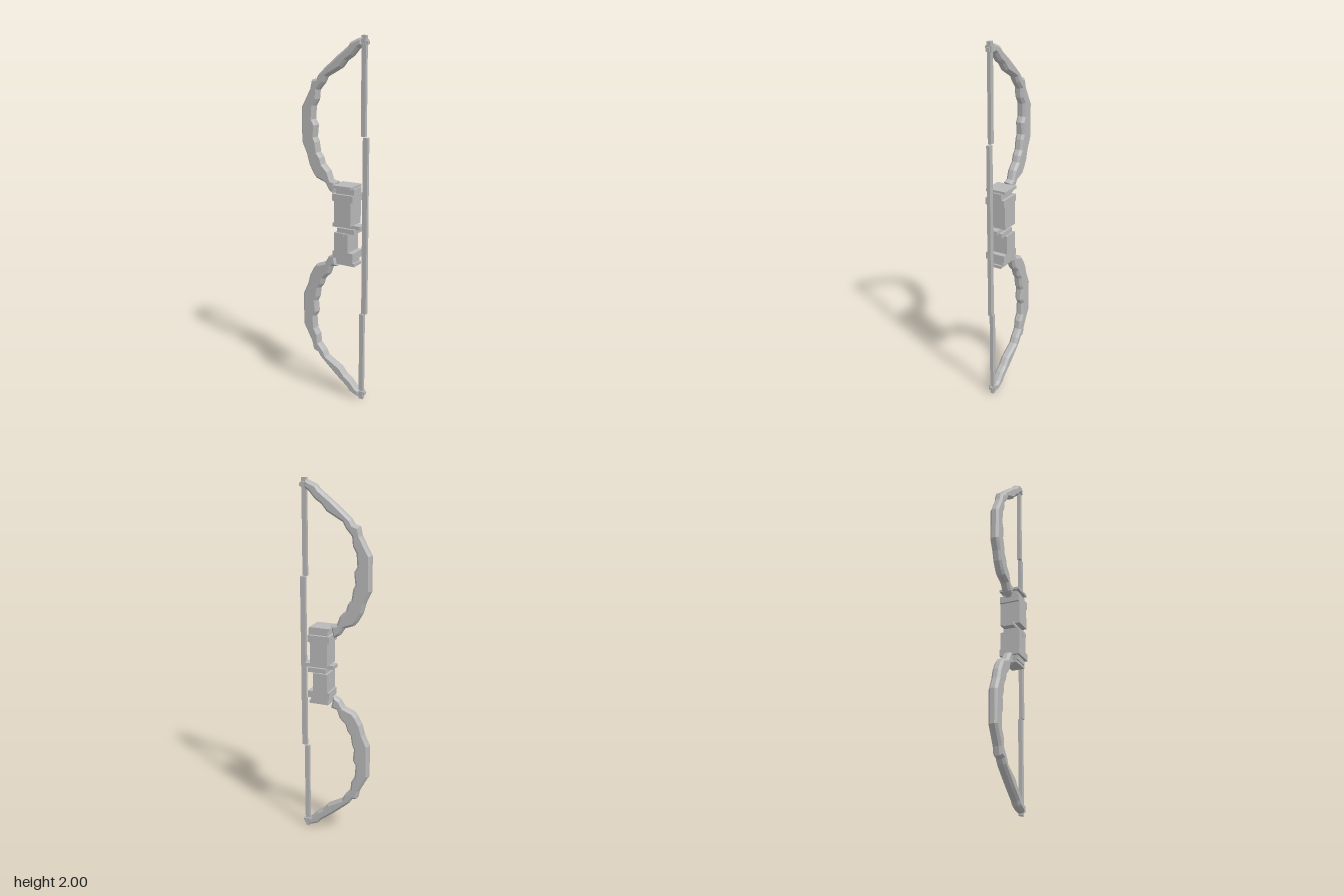
import * as THREE from 'three';

export function createModel() {
  const bow = new THREE.Group();
  bow.name = 'bow';
  const grey = new THREE.MeshStandardMaterial({ color: 0xb8b8b8 });
  grey.name = 'plain grey';

  // box from x range, y range and half depth
  const box = (name, x0, x1, y0, y1, halfZ) => {
    const mesh = new THREE.Mesh(new THREE.BoxGeometry(x1 - x0, y1 - y0, halfZ * 2), grey);
    mesh.position.set((x0 + x1) / 2, (y0 + y1) / 2, 0);
    mesh.name = name;
    bow.add(mesh);
  };

  // limb outline, heights measured from the middle of the bow
  const outer = [
    [0.165, 0.99], [0.145, 0.985], [0.1, 0.965], [0.085, 0.945], [0.06, 0.925], [0.02, 0.895],
    [-0.045, 0.84], [-0.09, 0.8], [-0.105, 0.775], [-0.135, 0.765], [-0.145, 0.72],
    [-0.18, 0.655], [-0.2, 0.62], [-0.2, 0.435], [-0.17, 0.37], [-0.155, 0.315],
    [-0.13, 0.27], [-0.11, 0.245], [-0.055, 0.225], [-0.03, 0.185], [0.005, 0.165],
  ];
  const inner = [
    [0.022, 0.235], [-0.013, 0.243], [-0.03, 0.29], [-0.065, 0.325], [-0.075, 0.36],
    [-0.095, 0.385], [-0.103, 0.44], [-0.115, 0.465], [-0.108, 0.53], [-0.125, 0.56],
    [-0.12, 0.63], [-0.1, 0.665], [-0.095, 0.715], [-0.06, 0.755], [-0.045, 0.785],
    [0, 0.81], [0.045, 0.835], [0.075, 0.872], [0.11, 0.895], [0.145, 0.935], [0.17, 0.95],
  ];

  // upper and lower limbs with bevelled edges
  for (const side of [1, -1]) {
    const outline = [...outer, ...inner].map(([x, y]) => new THREE.Vector2(x, 1 + side * y));
    const limb = new THREE.ExtrudeGeometry(new THREE.Shape(outline), {
      depth: 0.024, bevelEnabled: true, bevelThickness: 0.013,
      bevelSize: 0.012, bevelOffset: -0.012, bevelSegments: 1,
    });
    limb.translate(0, 0, -0.012);
    const mesh = new THREE.Mesh(limb, grey);
    mesh.name = side > 0 ? 'upperLimb' : 'lowerLimb';
    bow.add(mesh);

    // string end, with its knot at the limb tip
    const span = (a, b) => (side > 0 ? [1 + a, 1 + b] : [1 - b, 1 - a]);
    box('stringEnd', 0.16, 0.185, ...span(0.49, 1), 0.01);
    box('stringKnot', 0.152, 0.186, ...span(0.95, 0.98), 0.018);
    box('stringNock', 0.18, 0.197, ...span(0.955, 0.972), 0.01);
  }
  box('stringMiddle', 0.172, 0.2, 0.515, 1.485, 0.01);

  // upper grip
  box('upperCap', 0.014, 0.13, 1.212, 1.226, 0.058);
  box('upperNeck', 0.03, 0.14, 1.178, 1.213, 0.04);
  box('upperCollar', 0.014, 0.141, 1.142, 1.18, 0.056);
  box('upperGrip', 0.027, 0.127, 1.012, 1.144, 0.056);

  // guard in the middle
  box('guardPlate', 0, 0.17, 0.992, 1.013, 0.03);
  box('guardCore', 0.04, 0.145, 0.968, 0.994, 0.045);
  box('guardPeg', 0.065, 0.085, 0.95, 0.97, 0.058);

  // lower grip
  box('lowerGrip', 0.027, 0.111, 0.86, 0.968, 0.056);
  box('lowerCollar', 0.016, 0.141, 0.826, 0.864, 0.056);
  box('lowerNeck', 0.03, 0.13, 0.8, 0.828, 0.042);
  box('lowerCap', 0.03, 0.141, 0.785, 0.802, 0.036);

  return bow;
}
